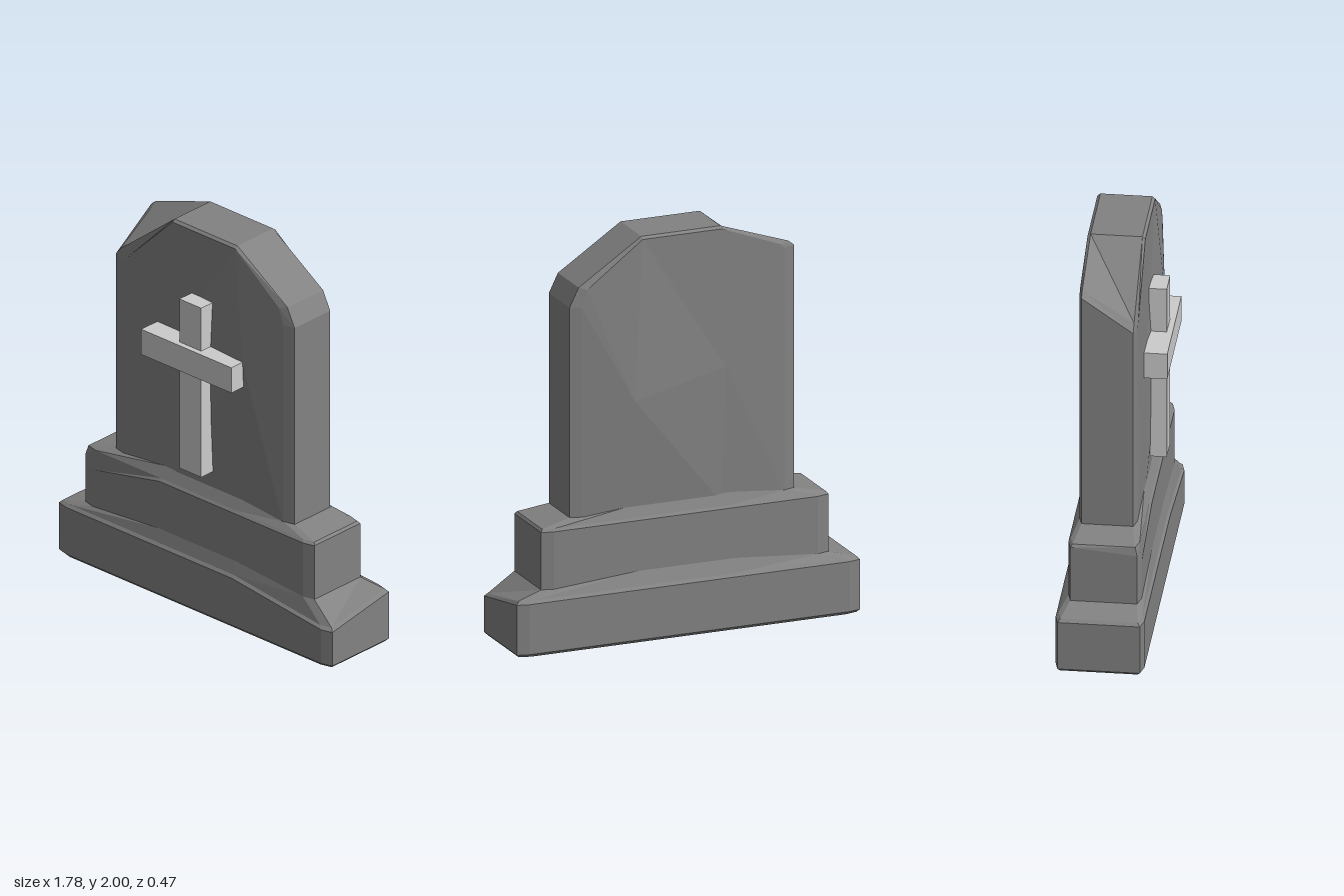
import * as THREE from 'three';

const stone = new THREE.MeshStandardMaterial({ color: 0x828282, flatShading: true });
const pale = new THREE.MeshStandardMaterial({ color: 0xcccccc, flatShading: true });

// Collects triangles and turns them into a flat-shaded mesh
function meshFrom(name, triangles) {
  const geometry = new THREE.BufferGeometry();
  geometry.setAttribute('position', new THREE.Float32BufferAttribute(triangles.flat(2), 3));
  geometry.computeVertexNormals();
  const mesh = new THREE.Mesh(geometry, stone);
  mesh.name = name;
  return mesh;
}

// Skins consecutive rings with an equal number of points
function skin(rings) {
  const tris = [];
  for (let r = 0; r < rings.length - 1; r++) {
    const a = rings[r], b = rings[r + 1], n = a.length;
    for (let i = 0; i < n; i++) {
      const j = (i + 1) % n;
      tris.push([a[i], a[j], b[j]], [a[i], b[j], b[i]]);
    }
  }
  return tris;
}

// Horizontal rectangle with cut corners and two extra points front and back;
// mid lifts those extra points, dips lowers single points
function tierRing(y, hx, zf, zb, mid = 0, dips = {}, cx = 0.06, cz = 0.015) {
  const x = hx - cx, m = 0.25;
  return [
    [-x, zf], [-m, zf], [m, zf], [x, zf], [hx, zf - cz], [hx, zb + cz],
    [x, zb], [m, zb], [-m, zb], [-x, zb], [-hx, zb + cz], [-hx, zf - cz],
  ].map(([px, pz], i) => {
    const lift = [1, 2, 7, 8].includes(i) ? mid : 0;
    return [px, y + lift - (dips[i] || 0), pz];
  });
}

// Two-tier plinth with a worn corner on each tier
function createPlinth() {
  const rightChip = { 3: 0.07, 4: 0.07 };
  const rings = [
    tierRing(0, 0.875, 0.178, -0.223),
    tierRing(0.015, 0.89, 0.19, -0.235),
    tierRing(0.265, 0.89, 0.19, -0.235, 0, rightChip),
    tierRing(0.28, 0.875, 0.178, -0.222, 0, rightChip),
    tierRing(0.31, 0.745, 0.16, -0.19, 0.035),
    tierRing(0.597, 0.745, 0.16, -0.19, 0, { 0: 0.09, 11: 0.03 }),
    tierRing(0.61, 0.735, 0.15, -0.18),
    tierRing(0.64, 0.585, 0.122, -0.155, 0.027),
  ];
  const tris = skin(rings);
  const bottom = rings[0], top = rings[rings.length - 1];
  for (let i = 1; i < 11; i++) {
    tris.push([bottom[0], bottom[i + 1], bottom[i]], [top[0], top[i], top[i + 1]]);
  }
  return meshFrom('plinth', tris);
}

// Upright outline of the slab; corner holds the two points of its chipped shoulder
function slabRing(z, inset, drop, corner) {
  const s = 0.582 - inset, b = 0.62;
  return [
    [-0.2, b], [0.2, b], [s, b], [s, 1.69], [0.535 - inset * 0.7, 1.785 - drop],
    [0.21, 2 - drop], [-0.2, 2 - drop], ...corner, [-s, b],
  ].map(([x, y]) => [x, y, z]);
}

// Closes a slab face with a fan around two bulging points
function cap(ring, left, right, flip) {
  const tris = [];
  for (let i = 1; i < 5; i++) tris.push([ring[i], ring[i + 1], right]);
  for (let i = 6; i < 10; i++) tris.push([ring[i], ring[(i + 1) % 10], left]);
  tris.push([ring[0], ring[1], right], [ring[0], right, left]);
  tris.push([ring[5], ring[6], left], [ring[5], left, right]);
  return flip ? tris.map(([a, b, c]) => [a, c, b]) : tris;
}

function createSlab() {
  const rings = [
    slabRing(-0.155, 0.055, 0.012, [[-0.51, 1.87], [-0.527, 1.85]]),
    slabRing(-0.14, 0, 0, [[-0.55, 1.88], [-0.582, 1.855]]),
    slabRing(0.108, 0, 0, [[-0.55, 1.72], [-0.582, 1.68]]),
    slabRing(0.122, 0.06, 0.012, [[-0.49, 1.7], [-0.522, 1.67]]),
  ];
  return meshFrom('slab', [
    ...skin(rings),
    ...cap(rings[0], [-0.22, 1.3, -0.165], [0.27, 1.2, -0.205], true),
    ...cap(rings[3], [-0.22, 1.35, 0.128], [0.29, 1.43, 0.16], false),
  ]);
}

// Raised cross on the front
function createCross() {
  const group = new THREE.Group();
  group.name = 'cross';
  const bar = (name, w, h, d, y, z) => {
    const mesh = new THREE.Mesh(new THREE.BoxGeometry(w, h, d), pale);
    mesh.name = name;
    mesh.position.set(-0.002, y, z);
    group.add(mesh);
  };
  bar('crossUpright', 0.142, 0.905, 0.09, 1.2025, 0.165);
  bar('crossArm', 0.587, 0.135, 0.118, 1.3575, 0.179);
  return group;
}

export function createModel() {
  const model = new THREE.Group();
  model.name = 'gravestone';
  model.add(createPlinth(), createSlab(), createCross());
  return model;
}
